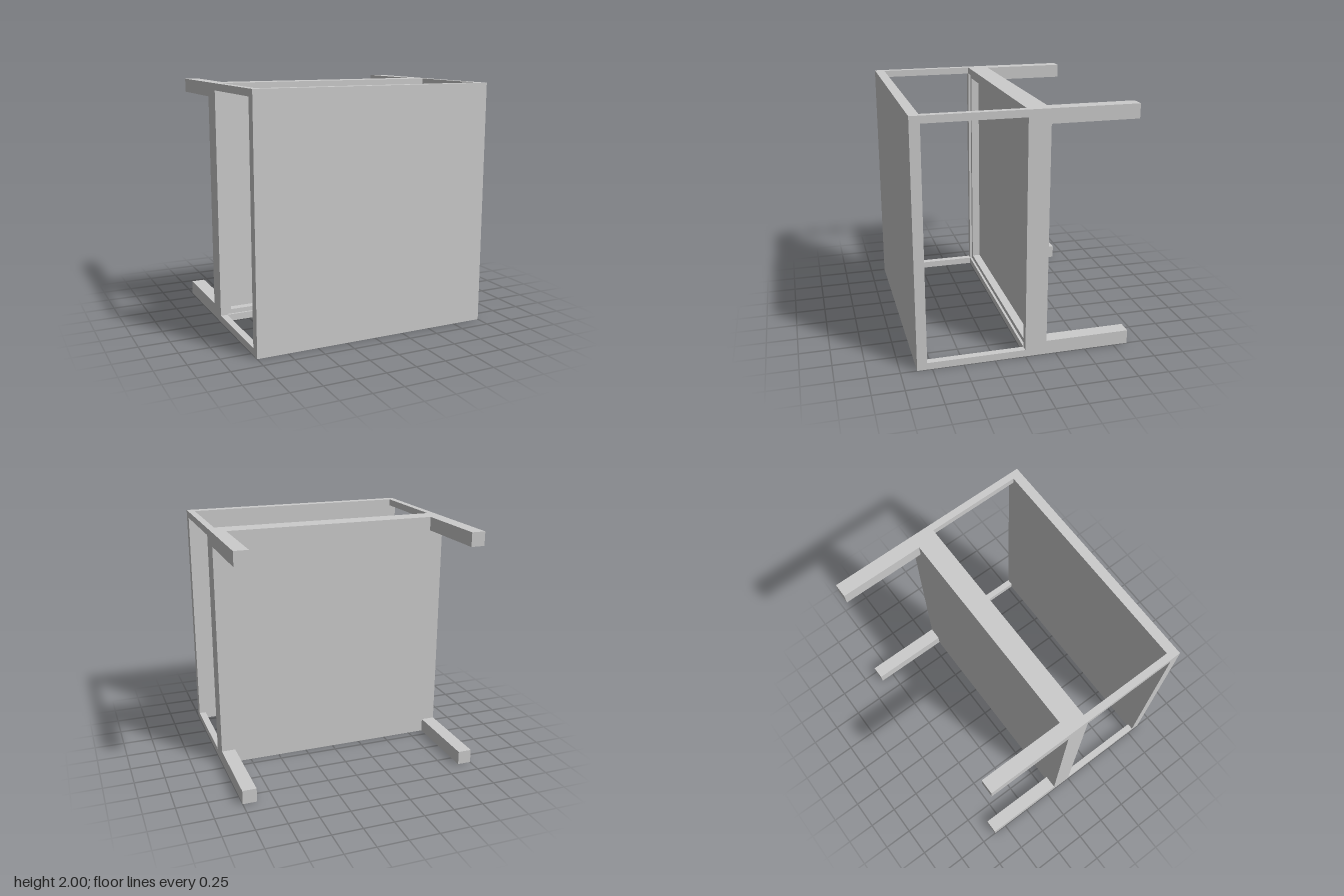
import * as THREE from 'three';

const material = new THREE.MeshStandardMaterial({ color: 0xcccccc, flatShading: true });

export function createModel() {
  const model = new THREE.Group();

  const add = (name, geometry, x, y, z) => {
    const mesh = new THREE.Mesh(geometry, material);
    mesh.name = name;
    mesh.position.set(x, y, z);
    model.add(mesh);
  };

  // Box between two depths, centred on x and y
  const slab = (name, w, h, z0, z1, x = 0, y = 1) =>
    add(name, new THREE.BoxGeometry(w, h, z1 - z0), x, y, (z0 + z1) / 2);

  // Square outline on a shape or path
  const square = (path, r) =>
    path.moveTo(-r, -r).lineTo(r, -r).lineTo(r, r).lineTo(-r, r).closePath();

  // Square frame with an opening
  const frame = (name, inner, z0, z1) => {
    const shape = new THREE.Shape();
    square(shape, 1);
    const hole = new THREE.Path();
    square(hole, inner);
    shape.holes.push(hole);
    add(name, new THREE.ExtrudeGeometry(shape, { depth: z1 - z0, bevelEnabled: false }), 0, 1, z0);
  };

  // Outer panel
  slab('frontPanel', 2, 2, 0.79, 0.87);

  // Middle panel with a stepped recess facing the front panel
  slab('middlePanel', 2, 2, -0.175, -0.09);
  frame('recessFrame', 0.905, -0.09, -0.02);
  frame('recessRim', 0.943, -0.02, 0);

  // Corner rails and legs
  const rail = 0.057, leg = 0.115;
  for (const sx of [-1, 1]) {
    for (const sy of [-1, 1]) {
      slab('cornerRail', rail, rail, 0, 0.79, sx * (1 - rail / 2), 1 + sy * (1 - rail / 2));
      slab('leg', leg, leg, -0.87, -0.175, sx * (1 - leg / 2), 1 + sy * (1 - leg / 2));
    }
  }

  return model;
}
